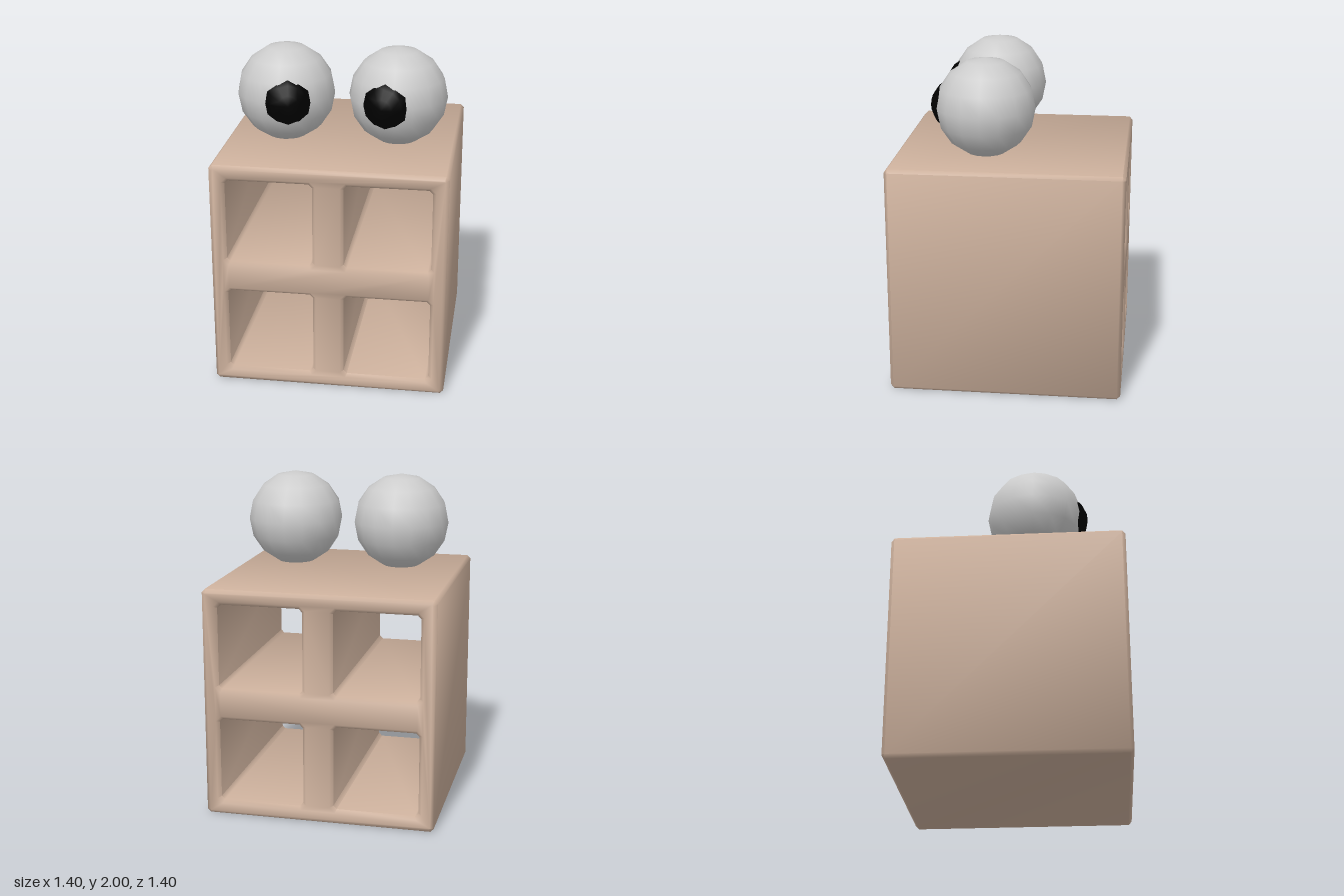
import * as THREE from 'three';
import { toCreasedNormals } from 'three/addons/utils/BufferGeometryUtils.js';

const SIZE = 1.4;
const BEVEL = 0.02;

// Rectangle with clipped corners, traced onto a Shape or Path
function clippedRect(path, cx, cy, w, h, c) {
  const x = w / 2, y = h / 2;
  path.setFromPoints([
    [-x + c, -y], [x - c, -y], [x, -y + c], [x, y - c],
    [x - c, y], [-x + c, y], [-x, y - c], [-x, -y + c],
  ].map(([px, py]) => new THREE.Vector2(cx + px, cy + py)));
  path.closePath();
  return path;
}

// Cube shelf with four square compartments running right through
function createShelf(material) {
  const shape = clippedRect(new THREE.Shape(), 0, SIZE / 2, SIZE, SIZE, BEVEL);
  for (const sx of [-1, 1]) {
    for (const sy of [-1, 1]) {
      shape.holes.push(clippedRect(new THREE.Path(), sx * 0.35, SIZE / 2 + sy * 0.352, 0.515, 0.515, BEVEL));
    }
  }
  const geometry = new THREE.ExtrudeGeometry(shape, {
    depth: SIZE - 2 * BEVEL,
    bevelEnabled: true,
    bevelSegments: 1,
    bevelSize: BEVEL,
    bevelThickness: BEVEL,
    bevelOffset: -BEVEL,
  });
  geometry.translate(0, 0, -SIZE / 2 + BEVEL);
  const shelf = new THREE.Mesh(toCreasedNormals(geometry, Math.PI / 3), material);
  shelf.name = 'shelf';
  return shelf;
}

// Eyeball with a bulging pupil, turned slightly inwards
function createEye(name, x, turn, white, black) {
  const eye = new THREE.Group();
  eye.name = name;
  eye.position.set(x, 1.704, 0.146);

  const ball = new THREE.Mesh(new THREE.SphereGeometry(0.296, 16, 8), white);
  ball.name = 'eyeball';

  const pupilGeometry = new THREE.SphereGeometry(0.16, 12, 8);
  pupilGeometry.rotateX(Math.PI / 2);
  const pupil = new THREE.Mesh(pupilGeometry, black);
  pupil.name = 'pupil';
  pupil.position.set(Math.sin(turn) * 0.175, 0, Math.cos(turn) * 0.175);
  pupil.rotation.y = turn;

  eye.add(ball, pupil);
  return eye;
}

export function createModel() {
  const wood = new THREE.MeshStandardMaterial({ color: 0xccb09c });
  const white = new THREE.MeshStandardMaterial({ color: 0xcccccc });
  const black = new THREE.MeshStandardMaterial({ color: 0x000000 });

  const model = new THREE.Group();
  model.name = 'shelfWithEyes';
  model.add(
    createShelf(wood),
    createEye('rightEye', -0.332, 0.21, white, black),
    createEye('leftEye', 0.347, -0.21, white, black),
  );
  return model;
}
